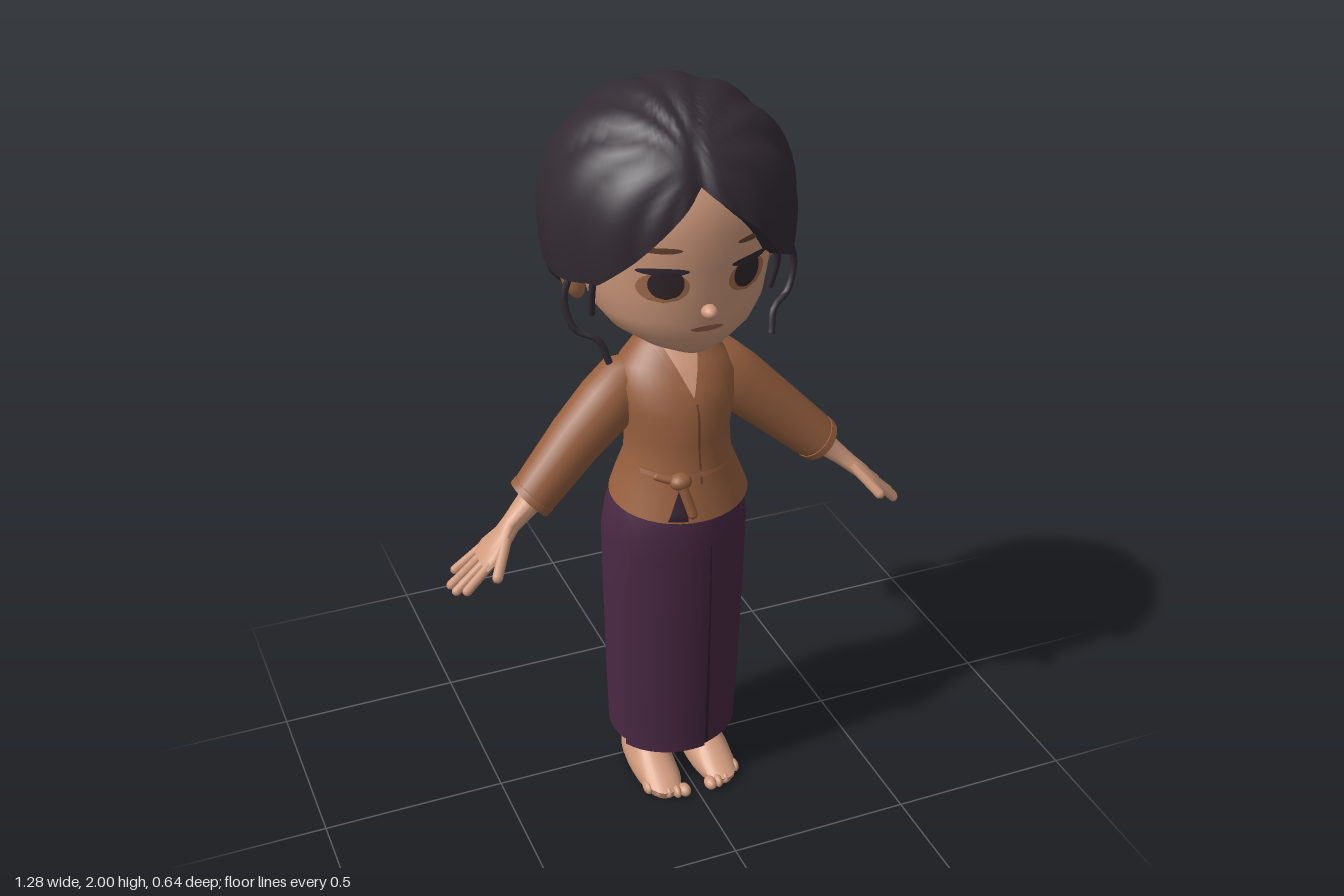
import * as THREE from 'three';
import { toCreasedNormals } from 'three/addons/utils/BufferGeometryUtils.js';

const material = (name, color) => {
  const m = new THREE.MeshStandardMaterial({ color, side: THREE.DoubleSide });
  m.name = name;
  return m;
};

// Surface from a rule fn(row, column) -> [x, y, z]; rows run upward
function grid(rows, cols, closed, fn) {
  const pos = [], index = [], width = closed ? cols : cols + 1;
  for (let i = 0; i <= rows; i++) for (let j = 0; j < width; j++) pos.push(...fn(i, j));
  for (let i = 0; i < rows; i++) for (let j = 0; j < cols; j++) {
    const a = i * width + j, b = i * width + (j + 1) % width;
    index.push(a, b, a + width, b, b + width, a + width);
  }
  const g = new THREE.BufferGeometry();
  g.setAttribute('position', new THREE.Float32BufferAttribute(pos, 3));
  g.setIndex(index);
  return toCreasedNormals(g, 0.9);
}

// Loft through rows of [y, half width, front z, back z, tilt], capped at both ends
function loft(rows, n = 40, p = 1) {
  const first = rows[0], last = rows[rows.length - 1];
  const cap = ([y, , f, b]) => [y, 0, (f + b) / 2, (f + b) / 2];
  const all = [cap(first), ...rows, cap(last)];
  return grid(all.length - 1, n, true, (i, j) => {
    const [y, w, f, b, tilt = 0] = all[i], a = (j / n) * Math.PI * 2;
    const bend = v => Math.sign(v) * Math.abs(v) ** p;
    const s = bend(Math.sin(a)), c = bend(Math.cos(a));
    return [w * s, y - tilt * c, (f + b) / 2 + (f - b) / 2 * c];
  });
}

// Front z of a loft at x, y
function frontZ(rows, p, x, y) {
  let i = 0;
  while (i < rows.length - 2 && y > rows[i + 1][0]) i++;
  const t = THREE.MathUtils.clamp((y - rows[i][0]) / (rows[i + 1][0] - rows[i][0]), 0, 1);
  const [w, f, b] = [1, 2, 3].map(k => THREE.MathUtils.lerp(rows[i][k], rows[i + 1][k], t));
  const side = Math.max(0, 1 - Math.min(1, Math.abs(x / w)) ** (2 / p)) ** (p / 2);
  return (f + b) / 2 + (f - b) / 2 * side;
}

// Thin plate lying on the front of a loft between left(y) and right(y)
const plate = (rows, p, y0, y1, left, right, lift, n = 12) => grid(n, n, false, (i, j) => {
  const y = y0 + (y1 - y0) * i / n, x = THREE.MathUtils.lerp(left(y), right(y), j / n);
  return [x, y, frontZ(rows, p, x, y) + lift];
});

const HEAD = [[1.37, .06, .215, .06], [1.39, .115, .235, 0], [1.43, .18, .255, -.08], [1.48, .218, .267, -.14],
  [1.55, .237, .272, -.18], [1.62, .245, .28, -.2], [1.7, .25, .285, -.22], [1.8, .23, .27, -.2], [1.88, .15, .2, -.12]];
const SHIRT = [[.92, .185, .25, -.08, .02], [.965, .167, .235, -.076, .01], [1.03, .141, .215, -.06], [1.1, .137, .205, -.06],
  [1.18, .152, .203, -.07], [1.24, .16, .175, -.07], [1.29, .14, .14, -.062], [1.33, .095, .1, -.052], [1.36, .07, .075, -.045]];
const SKIRT = [[.145, .18, .195, -.112, .02], [.3, .186, .203, -.112], [.6, .194, .215, -.112], [.8, .198, .22, -.11],
  [.88, .188, .215, -.095], [.95, .155, .2, -.07]];
const SLEEVE = [[-.385, .06, .13, .005], [-.35, .065, .125, 0], [-.2, .074, .105, -.04], [-.08, .082, .1, -.055],
  [0, .08, .085, -.055], [.05, .045, .06, -.03]];
const HAND = [[-.585, .014, .158, .045], [-.55, .02, .158, .04], [-.5, .022, .135, .055], [-.465, .025, .112, .055], [-.36, .036, .11, .03]];
const FOOT = [[0, .055, .235, -.05], [.025, .062, .245, -.06], [.05, .058, .2, -.06], [.08, .046, .13, -.052], [.11, .038, .085, -.042]];
const ANKLE = [[.1, .038, .085, -.042], [.14, .036, .07, -.04], [.22, .042, .07, -.04]];

// Hairline height around the head; angle 0 is the front
const HAIRLINE = [[-3.15, 1.5], [-2.2, 1.54], [-1.57, 1.56], [-.95, 1.58], [-.62, 1.66], [-.32, 1.755], [-.09, 1.83],
  [.3, 1.73], [.65, 1.62], [1, 1.57], [1.57, 1.56], [2.2, 1.54], [3.15, 1.5]];
function hairline(a) {
  const i = Math.max(1, HAIRLINE.findIndex(h => h[0] >= a)), [p, q] = [HAIRLINE[i - 1], HAIRLINE[i]];
  return p[1] + (q[1] - p[1]) * (a - p[0]) / (q[0] - p[0]);
}

// Swept hair with locks fanning from the parting
function hairCap() {
  const rows = 24, cols = 144;
  return grid(rows, cols, true, (i, j) => {
    const a = (j / cols * 2 - 1) * Math.PI, low = hairline(a);
    const t = 1 - Math.max(0, i - 1) / (rows - 1);
    const y = low + (2 - low) * Math.cos(t * Math.PI / 2), k = (y - 1.68) / .32;
    let r = k > 0 ? Math.sqrt(Math.max(0, 1 - k ** 2.2)) : 1 - .25 * k * k;
    r *= 1 - .06 * t * Math.exp(-(((a + .09) / .08) ** 2));
    if (i === 0) r *= .76;
    const x = .322 * r * Math.sin(a), z = .012 + .313 * r * Math.cos(a);
    const fan = Math.atan2(x + .03, .27 - z), amp = Math.min(1, Math.hypot(x + .03, z - .27) / .2);
    const s = 1 + amp * (.036 * Math.abs(Math.sin(fan * 8)) - .026);
    return [x * s, 1.65 + (y - 1.65) * s, .012 + (z - .012) * s];
  });
}

export function createModel() {
  const root = new THREE.Group();
  root.name = 'woman';
  const skin = material('skin', 0xd09a7d), tan = material('shaded skin', 0xa8704f), cloth = material('blouse brown', 0x98603f);
  const plum = material('skirt plum', 0x4a2944), fold = material('skirt fold', 0x33202f), black = material('hair', 0x332b33);
  const iris = material('eye', 0x35282c), brown = material('brow', 0x6b4232), lip = material('lips', 0x9c5f4c);

  const add = (name, geo, mat, parent = root) => {
    const m = new THREE.Mesh(geo, mat);
    m.name = name;
    parent.add(m);
    return m;
  };
  const blob = (name, mat, at, size, parent = root) => {
    const m = add(name, new THREE.SphereGeometry(1, 16, 12), mat, parent);
    m.position.set(...at);
    m.scale.set(...size);
    return m;
  };
  // Rounded rod between two points
  const rod = (name, mat, a, b, r, parent) => {
    const p = new THREE.Vector3(...a), q = new THREE.Vector3(...b), d = q.clone().sub(p);
    const m = add(name, new THREE.CapsuleGeometry(r, d.length(), 3, 8), mat, parent);
    m.position.copy(p).addScaledVector(d, .5);
    m.quaternion.setFromUnitVectors(new THREE.Vector3(0, 1, 0), d.normalize());
  };
  const oval = (name, mat, cx, cy, w, h, lift) => {
    const half = y => w * Math.sqrt(Math.max(0, 1 - ((y - cy) / h) ** 2));
    add(name, plate(HEAD, 1, cy - h, cy + h, y => cx - half(y), y => cx + half(y), lift), mat);
  };

  // Head and face
  add('head', loft(HEAD), skin);
  add('neck', new THREE.CylinderGeometry(.062, .07, .16, 20), tan).position.set(0, 1.36, .015);
  blob('nose', skin, [0, 1.508, .275], [.02, .018, .027]);
  oval('mouth', lip, 0, 1.46, .042, .008, .005);
  for (const s of [-1, 1]) {
    oval('eyeSocket', tan, s * .108, 1.58, .058, .042, .004);
    oval('iris', iris, s * .104, 1.59, .04, .042, .007);
    oval('lashes', black, s * .112, 1.624, .058, .01, .009);
    oval('eyebrow', brown, s * .115, 1.678, .045, .008, .006);
    blob('ear', tan, [s * .255, 1.535, .015], [.028, .062, .045]).rotation.z = -s * .25;
  }

  // Hair, buns and loose strands
  add('hair', hairCap(), black);
  blob('napeHair', black, [0, 1.51, -.15], [.19, .09, .12]);
  blob('leftBun', black, [.135, 1.435, -.205], [.1, .1, .105]);
  blob('rightBun', black, [-.135, 1.47, -.235], [.105, .085, .095]);
  const strands = [
    [[-.27, 1.62, .1], [-.305, 1.52, .1], [-.285, 1.44, .12], [-.235, 1.415, .14], [-.21, 1.35, .15]],
    [[.26, 1.62, .12], [.305, 1.52, .1], [.285, 1.44, .11], [.24, 1.41, .13], [.225, 1.35, .15]],
    [[-.23, 1.62, .13], [-.24, 1.54, .12], [-.24, 1.47, .11]],
    [[.23, 1.62, .13], [.25, 1.54, .12], [.235, 1.46, .11]],
  ];
  for (const s of strands) {
    const curve = new THREE.CatmullRomCurve3(s.map(p => new THREE.Vector3(...p)));
    add('looseStrand', new THREE.TubeGeometry(curve, 16, .009, 6), black);
  }

  // Blouse with open neck, crossed edge and waist knot
  add('blouse', loft(SHIRT), cloth);
  const vee = y => .052 * (y - 1.225) / .125;
  add('chest', plate(SHIRT, 1, 1.225, 1.352, y => -vee(y), vee, .006), skin);
  add('leftCollar', plate(SHIRT, 1, 1.215, 1.355, vee, y => vee(y) + .022, .012), cloth);
  add('rightCollar', plate(SHIRT, 1, 1.215, 1.355, y => -vee(y) - .022, y => -vee(y), .012), cloth);
  add('frontEdge', plate(SHIRT, 1, 1.0, 1.225, () => .004, () => .009, .004), brown);
  add('waistTie', plate(SHIRT, 1, 1.02, 1.035, () => -.13, () => .11, .008), cloth);
  add('hemSlit', plate(SHIRT, 1, .91, 1.0, y => -.05 - (1 - y) * .45, () => -.04, .006), fold);
  blob('knot', cloth, [-.05, 1.015, .222], [.03, .022, .026]);
  rod('tieEnd', cloth, [-.05, 1.01, .232], [-.028, .93, .25], .014);
  rod('tieEnd', cloth, [-.055, 1.015, .225], [-.105, 1.03, .2], .011);

  // Wrapped skirt
  add('skirt', loft(SKIRT), plum);
  add('skirtWrap', plate(SKIRT, 1, .125, .92, () => -.165, y => .035 + (y > .8 ? (y - .8) * .3 : 0), .009, 20), plum);
  add('skirtFold', plate(SKIRT, 1, .13, .8, () => .034, y => .04 + (.8 - y) * .012, .005, 20), fold);

  for (const s of [-1, 1]) {
    // Arm, hanging along its own -y and swung outward
    const arm = new THREE.Group();
    arm.name = s > 0 ? 'leftArm' : 'rightArm';
    arm.position.set(s * .12, 1.23, .015);
    arm.rotation.z = s * .83;
    arm.scale.x = s;
    root.add(arm);
    add('sleeve', loft(SLEEVE, 24), cloth, arm);
    add('cuff', loft([[-.39, .063, .133, .002], [-.37, .064, .131, .001]], 24), cloth, arm);
    add('hand', loft(HAND, 20), skin, arm);
    for (const [z0, z1, tip] of [[.058, .036, -.66], [.085, .072, -.69], [.115, .108, -.685], [.142, .143, -.66]])
      rod('finger', skin, [0, -.57, z0], [-.004, tip, z1], .0125, arm);
    rod('thumb', skin, [0, -.5, .12], [-.012, -.575, .188], .014, arm);

    // Bare foot
    const foot = new THREE.Group();
    foot.name = s > 0 ? 'leftFoot' : 'rightFoot';
    foot.position.x = s * .083;
    foot.scale.x = s;
    root.add(foot);
    add('sole', loft(FOOT, 28, .85), skin, foot);
    add('ankle', loft(ANKLE, 20), tan, foot);
    for (let i = 0; i < 5; i++)
      blob('toe', skin, [-.044 + i * .023, .017, .236 - i * i * .003], [i ? .012 : .017, .017, .024], foot);
  }
  return root;
}
